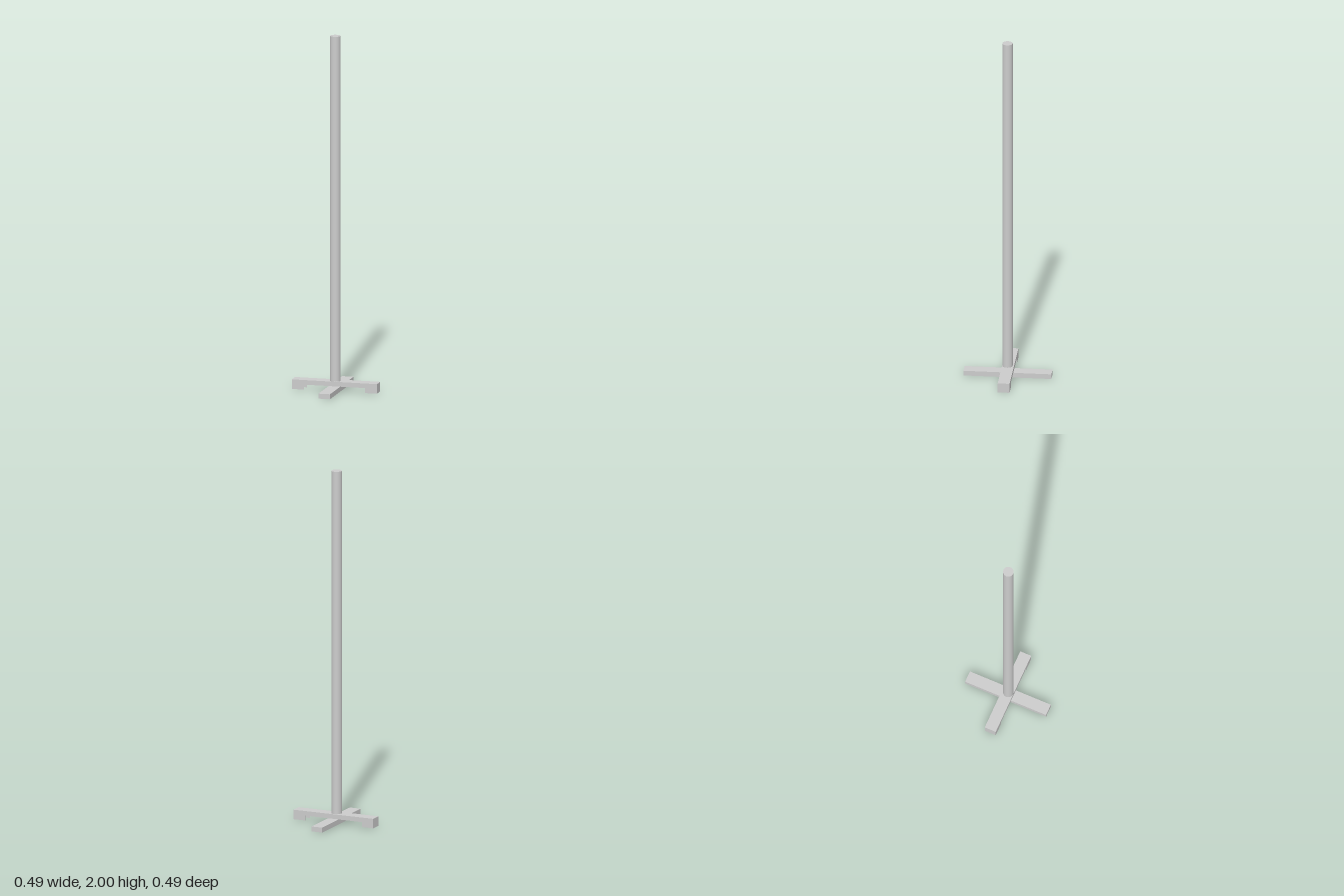
import * as THREE from 'three';

const HALF = 0.244, W = 0.066, T = 0.003;
const mat = new THREE.MeshStandardMaterial({ color: 0xcccccc, side: THREE.DoubleSide });

// Folded sheet-metal foot bar along x, open below; notch > 0 leaves a raised middle between two feet
function footBar(name, top, notch) {
  const bar = new THREE.Group();
  bar.name = name;
  const add = (part, geo, x, y, z) => {
    const m = new THREE.Mesh(geo, mat);
    m.name = part;
    m.position.set(x, y, z);
    bar.add(m);
  };

  // side walls, cut out between the feet
  const s = new THREE.Shape();
  s.moveTo(-HALF, 0);
  if (notch > 0) {
    s.lineTo(-0.174, 0);
    s.lineTo(-0.174, notch);
    s.lineTo(0.174, notch);
    s.lineTo(0.174, 0);
  }
  s.lineTo(HALF, 0);
  s.lineTo(HALF, top);
  s.lineTo(-HALF, top);
  const wall = new THREE.ExtrudeGeometry(s, { depth: T, bevelEnabled: false });
  add('sideWallFront', wall, 0, 0, W / 2 - T);
  add('sideWallBack', wall, 0, 0, -W / 2);

  // top plate and end plates
  add('topPlate', new THREE.BoxGeometry(HALF * 2 - 2 * T, T, W - 2 * T), 0, top - T / 2, 0);
  for (const side of [-1, 1]) {
    add('endPlate', new THREE.BoxGeometry(T, top, W - 2 * T), side * (HALF - T / 2), top / 2, 0);
  }
  return bar;
}

export function createModel() {
  const model = new THREE.Group();
  model.name = 'postStand';

  // crossed base: the raised bar rests on the low one
  const lower = footBar('lowerBar', 0.028, 0);
  lower.rotation.y = Math.PI / 2;
  model.add(lower, footBar('upperBar', 0.054, 0.028));

  // round post, slightly off centre
  const bottom = 0.052;
  const post = new THREE.Mesh(new THREE.CylinderGeometry(0.029, 0.029, 2 - bottom, 48), mat);
  post.name = 'post';
  post.position.set(-0.003, (2 + bottom) / 2, 0.003);
  model.add(post);
  return model;
}
